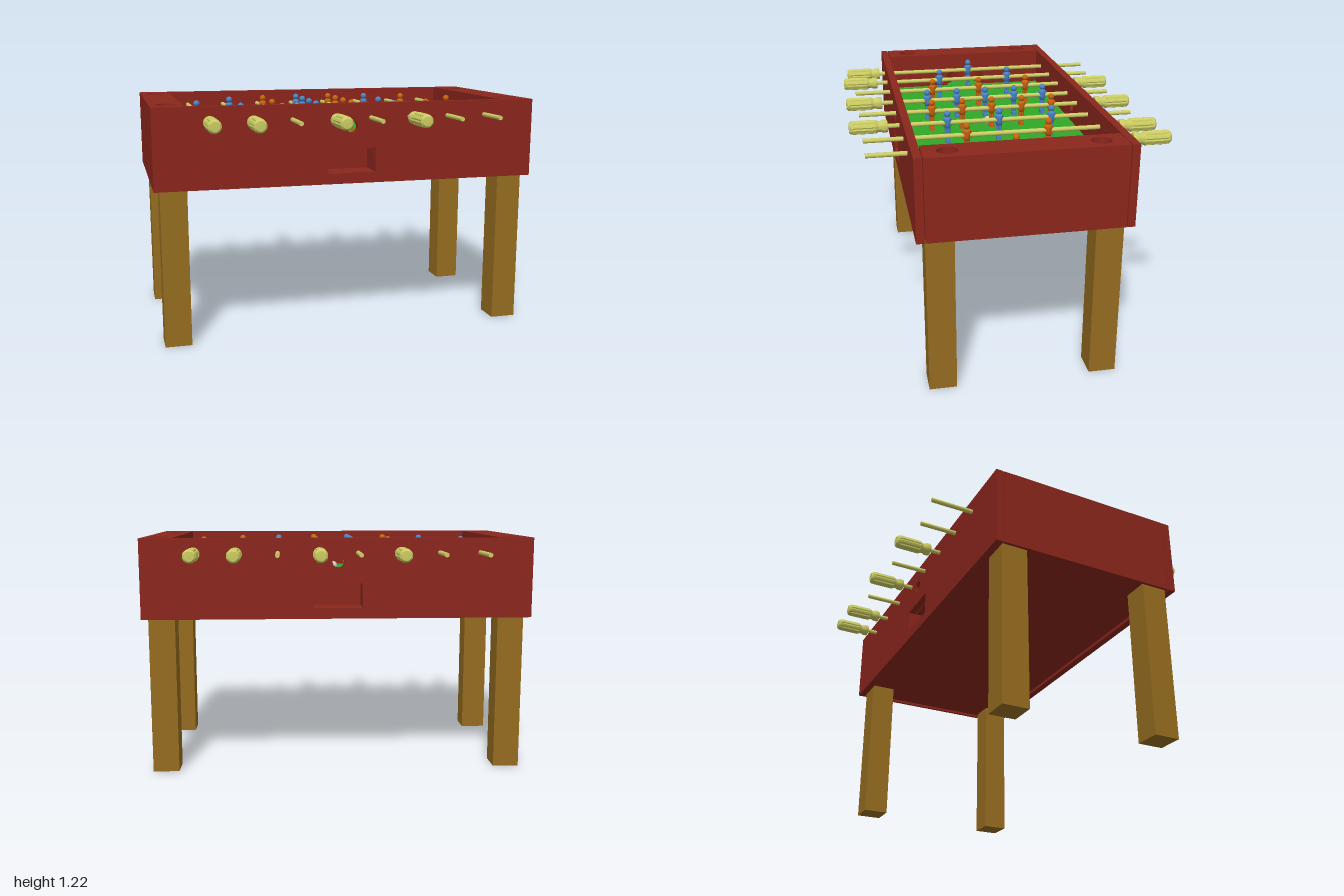
import * as THREE from 'three';
import { toCreasedNormals } from 'three/addons/utils/BufferGeometryUtils.js';

const paint = (color) => new THREE.MeshStandardMaterial({ color });
const RED = paint(0x8a261c), GREEN = paint(0x30a828), WOOD = paint(0x956c20);
const YELLOW = paint(0xcacb62), BLUE = paint(0x4a84c6), ORANGE = paint(0xc8640f), BALL = paint(0xcccccc);

const ROD_Y = 1.145, FIELD_Y = 1.02, INNER_Z = 0.472;

function add(parent, name, geometry, material, x = 0, y = 0, z = 0) {
  const mesh = new THREE.Mesh(geometry, material);
  mesh.name = name;
  mesh.position.set(x, y, z);
  parent.add(mesh);
  return mesh;
}

function rect(path, x0, y0, x1, y1) {
  path.moveTo(x0, y0);
  path.lineTo(x1, y0);
  path.lineTo(x1, y1);
  path.lineTo(x0, y1);
  path.closePath();
  return path;
}

const circle = (x, y, r) => new THREE.Path().absarc(x, y, r, 0, Math.PI * 2, true);

function extrude(shape, depth) {
  const g = new THREE.ExtrudeGeometry(shape, { depth, bevelEnabled: false, curveSegments: 16 });
  return toCreasedNormals(g, 0.6);
}

// Horizontal layer cut from a plan outline
const layer = (shape, y0, y1) => extrude(shape, y1 - y0).rotateX(-Math.PI / 2).translate(0, y0, 0);

// Long wall with the ball entry hole and the ball return opening
function wallGeometry() {
  const s = rect(new THREE.Shape(), -1, 0.81, 1, 1.22);
  s.holes.push(circle(0, 1.1, 0.03), rect(new THREE.Path(), -0.125, 0.865, 0.125, 0.99));
  return extrude(s, 0.039);
}

// Plan of the body with ball return pockets cut into both long sides
function pocketPlan() {
  const z = INNER_Z, d = 0.1, w = 0.125;
  const s = new THREE.Shape();
  const pts = [[-1, -z], [-w, -z], [-w, d - z], [w, d - z], [w, -z], [1, -z],
    [1, z], [w, z], [w, z - d], [-w, z - d], [-w, z], [-1, z]];
  return s.setFromPoints(pts.map(([x, y]) => new THREE.Vector2(x, y)));
}

// Plan of an end block with two cup holes and, if wanted, a rounded goal mouth
function endPlan(goal) {
  const s = new THREE.Shape();
  s.moveTo(0.835, -INNER_Z);
  s.lineTo(1, -INNER_Z);
  s.lineTo(1, INNER_Z);
  s.lineTo(0.835, INNER_Z);
  if (goal) {
    s.lineTo(0.835, 0.11);
    s.absarc(0.835, 0, 0.11, Math.PI / 2, -Math.PI / 2, true);
  }
  s.lineTo(0.835, -INNER_Z);
  for (const z of [-0.355, 0.355]) s.holes.push(circle(0.918, z, 0.049));
  return s;
}

// Fluted grip pointing along +z, starting at z = 0
function handleGeometry() {
  const profile = [[0, 0], [0.03, 0], [0.033, 0.006], [0.033, 0.024], [0.027, 0.036], [0.027, 0.046],
    [0.035, 0.06], [0.035, 0.062], [0.035, 0.17], [0.033, 0.184], [0.025, 0.193], [0, 0.195]];
  const g = new THREE.LatheGeometry(profile.map(([r, h]) => new THREE.Vector2(r, h)), 32);
  const p = g.attributes.position;
  for (let i = 0; i < p.count; i++) {
    const h = p.getY(i);
    const column = Math.floor(i / profile.length);
    if (column % 4 === 0 && h > 0.061 && h < 0.18) {
      p.setX(i, p.getX(i) * 0.86);
      p.setZ(i, p.getZ(i) * 0.86);
    }
  }
  return toCreasedNormals(g.rotateX(Math.PI / 2), 0.5);
}

// Player hanging on a rod, with the rod axis at its origin
function createPlayer(material, facing) {
  const player = new THREE.Group();
  player.name = 'player';
  add(player, 'head', new THREE.SphereGeometry(0.017, 16, 12), material, 0, 0.046, 0);
  const profile = [[0, -0.03], [0.014, -0.028], [0.016, -0.01], [0.021, 0.016], [0.018, 0.026], [0.008, 0.032], [0, 0.033]];
  const torso = new THREE.LatheGeometry(profile.map(([r, y]) => new THREE.Vector2(r, y)), 16);
  add(player, 'torso', torso, material);
  for (const s of [-1, 1]) {
    add(player, 'arm', new THREE.CapsuleGeometry(0.005, 0.032, 3, 8), material, 0, 0.002, s * 0.02);
    add(player, 'leg', new THREE.CylinderGeometry(0.008, 0.006, 0.066, 10), material, 0, -0.058, s * 0.007);
  }
  add(player, 'foot', new THREE.BoxGeometry(0.032, 0.018, 0.026), material, facing * 0.004, -0.096, 0);
  return player;
}

export function createModel() {
  const model = new THREE.Group();
  model.name = 'tableFootball';

  // Cabinet
  const cabinet = new THREE.Group();
  cabinet.name = 'cabinet';
  model.add(cabinet);
  const wall = wallGeometry();
  add(cabinet, 'frontWall', wall, RED, 0, 0, 0.476);
  add(cabinet, 'backWall', wall, RED, 0, 0, -0.515);
  const body = rect(new THREE.Shape(), -1, -INNER_Z, 1, INNER_Z);
  add(cabinet, 'bottomPanel', layer(body, 0.825, 0.865), RED);
  add(cabinet, 'pocketLayer', layer(pocketPlan(), 0.865, 0.99), RED);
  add(cabinet, 'fieldBase', layer(body, 0.99, 1.005), RED);
  add(cabinet, 'field', new THREE.BoxGeometry(1.97, 0.02, 0.94), GREEN, 0, FIELD_Y - 0.01, 0);

  // End blocks
  for (const s of [-1, 1]) {
    const end = new THREE.Group();
    end.name = s > 0 ? 'leftEnd' : 'rightEnd';
    end.rotation.y = s > 0 ? 0 : Math.PI;
    cabinet.add(end);
    add(end, 'goalLayer', layer(endPlan(true), 1.005, 1.13), RED);
    add(end, 'topLayer', layer(endPlan(false), 1.13, 1.22), RED);
    add(end, 'skirt', new THREE.BoxGeometry(0.015, 0.015, INNER_Z * 2), RED, 0.9925, 0.8175, 0);
  }

  // Legs
  for (const x of [-1, 1]) for (const z of [-1, 1]) {
    add(model, 'leg', new THREE.BoxGeometry(0.135, 0.825, 0.136), WOOD, x * 0.9025, 0.4125, z * 0.404);
  }

  // Rods with players and grips: position, side of the grip, slide, player places
  const five = [-0.33, -0.165, 0, 0.16, 0.325], three = [-0.278, 0, 0.27], two = [-0.21, 0.203];
  const rods = [
    [-0.725, 1, -0.027, [0.022]], [-0.517, 1, 0, two], [-0.31, -1, 0, three], [-0.1, 1, 0, five],
    [0.098, -1, 0, five], [0.306, 1, 0, three], [0.515, -1, 0, two], [0.722, -1, 0, [0]],
  ];
  const grip = handleGeometry();
  for (const [x, side, slide, places] of rods) {
    const rod = new THREE.Group();
    rod.name = 'rod';
    rod.position.set(x, ROD_Y, slide);
    model.add(rod);
    const bar = new THREE.CylinderGeometry(0.0115, 0.0115, 1.3, 16).rotateX(Math.PI / 2);
    add(rod, 'bar', bar, YELLOW, 0, 0, -side * 0.06);
    add(rod, 'handle', grip, YELLOW, 0, 0, side * 0.576).rotation.y = side > 0 ? 0 : Math.PI;
    for (const z of places) {
      const player = createPlayer(side > 0 ? BLUE : ORANGE, side);
      player.position.z = z;
      rod.add(player);
    }
  }

  // Ball on the centre spot
  add(model, 'ball', new THREE.SphereGeometry(0.024, 24, 16), BALL, 0, FIELD_Y + 0.024, 0);
  return model;
}
